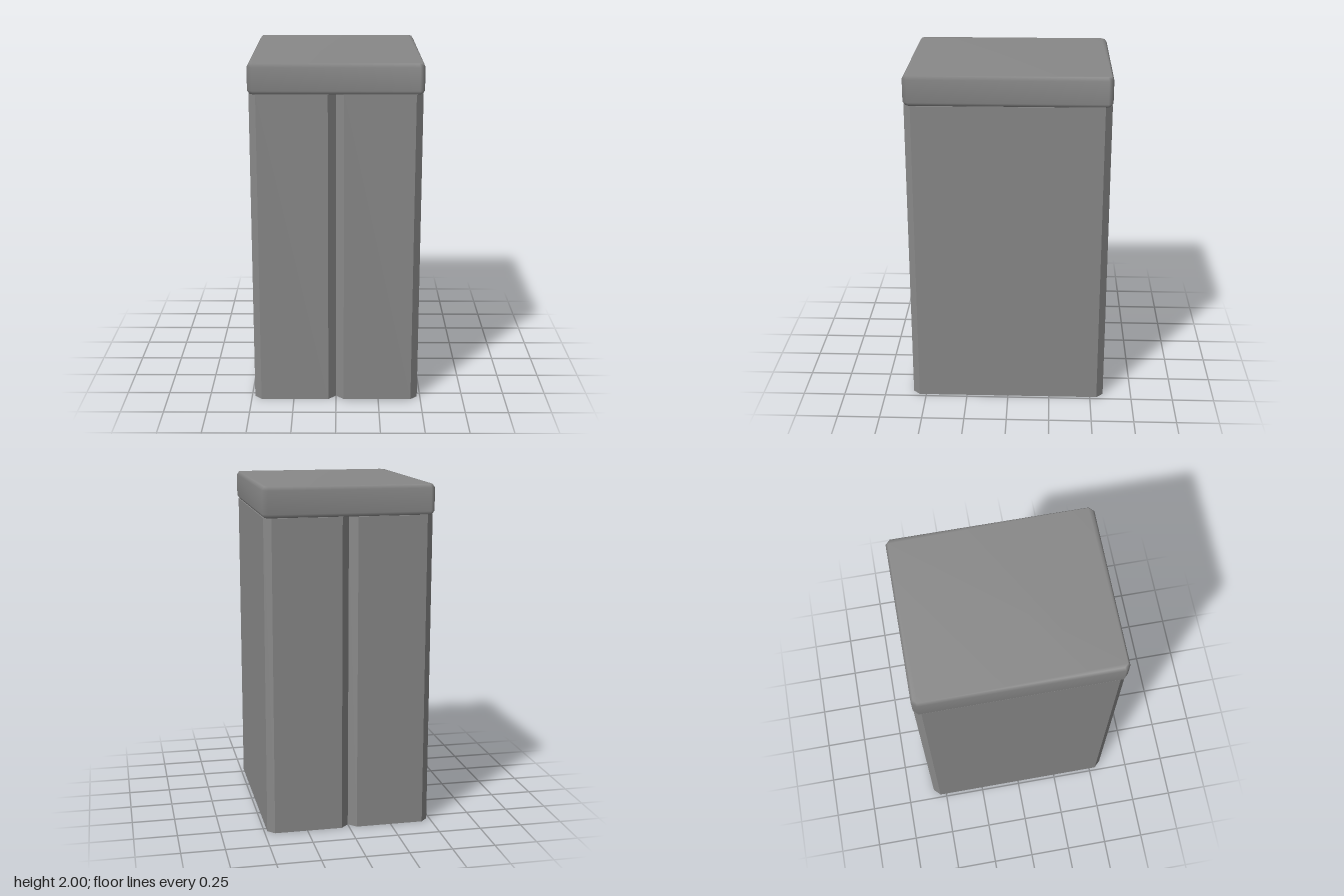
import * as THREE from 'three';
import { mergeVertices } from 'three/addons/utils/BufferGeometryUtils.js';

// Rectangle with cut corners, with an optional V groove in its two short sides
function planShape(w, d, c, groove) {
  const notch = groove ? [[groove, d], [0, d - groove], [-groove, d]] : [];
  const half = [[w, -d + c], [w, d - c], [w - c, d], ...notch, [-w + c, d]];
  const outline = [...half, ...half.map(([x, z]) => [-x, -z])];
  return new THREE.Shape(outline.map(([x, z]) => new THREE.Vector2(x, z)));
}

export function createModel() {
  const group = new THREE.Group();
  const color = 0x888888;

  // Body: cut corners and a V groove down the front and the back
  const bodyGeometry = new THREE.ExtrudeGeometry(planShape(0.482, 0.58, 0.04, 0.045), { depth: 1.83, bevelEnabled: false });
  bodyGeometry.rotateX(-Math.PI / 2);
  const body = new THREE.Mesh(bodyGeometry, new THREE.MeshStandardMaterial({ color, flatShading: true }));
  body.name = 'body';
  group.add(body);

  // Lid: slab with softly shaded bevels, slightly overhanging the body
  const bevel = 0.013, rise = 0.02;
  let lidGeometry = new THREE.ExtrudeGeometry(planShape(0.488 - bevel, 0.582 - bevel, 0.02, 0), {
    depth: 0.17 - 2 * rise, bevelSize: bevel, bevelThickness: rise, bevelSegments: 1,
  });
  lidGeometry.rotateX(-Math.PI / 2);
  lidGeometry.deleteAttribute('normal');
  lidGeometry.deleteAttribute('uv');
  lidGeometry = mergeVertices(lidGeometry);
  lidGeometry.computeVertexNormals();
  const lid = new THREE.Mesh(lidGeometry, new THREE.MeshStandardMaterial({ color }));
  lid.name = 'lid';
  lid.position.y = 1.83 + rise;
  group.add(lid);

  return group;
}
